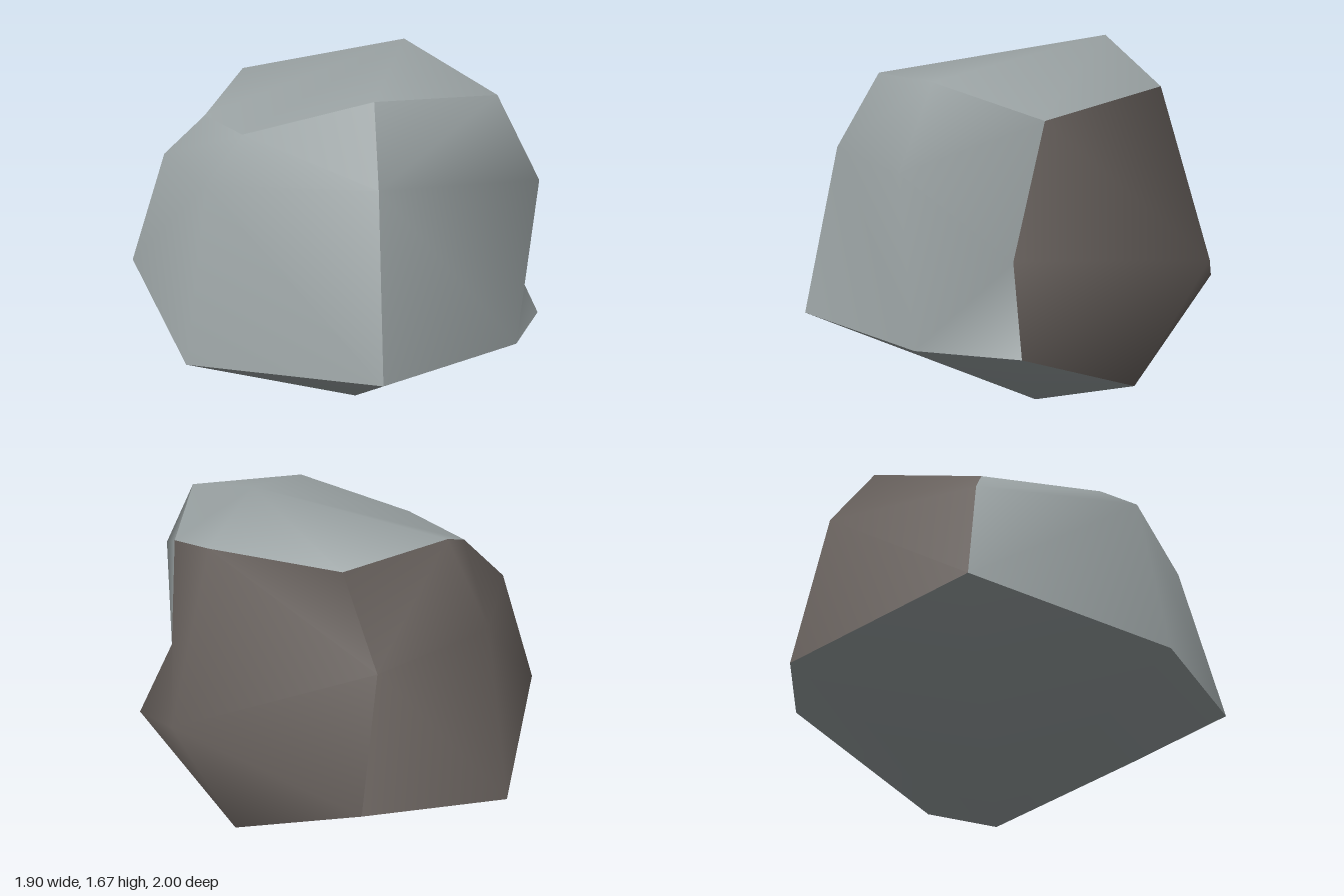
import * as THREE from 'three';

// Each ring runs front, front-left, left, back-left, back, back-right, right, front-right
const topRing = [
  [0.11, 1.51, 0.79], [0.46, 1.36, 0.54], [0.71, 1.47, 0.06], [0.46, 1.41, -0.42],
  [0.11, 1.51, -0.66], [-0.37, 1.36, -0.42], [-0.61, 1.36, 0.06], [-0.37, 1.51, 0.54],
];
const middleRing = [
  [0.11, 1.19, 1.0], [0.4, 0.82, 0.67], [0.95, 0.78, 0.06], [0.4, 1.0, -0.55],
  [0.11, 1.19, -0.87], [-0.5, 1.19, -0.55], [-0.82, 1.19, 0.06], [-0.5, 1.2, 0.67],
];
const bottomRing = [
  [0.11, 0.48, 0.93], [0.52, 0.48, 0.79], [0.62, 0.17, 0.06], [0.64, 0.51, -0.67],
  [0.11, 0.48, -1.0], [-0.61, 0.7, -0.67], [-0.95, 0.48, 0.06], [-0.61, 0.48, 0.79],
];
const peak = [0.45, 1.67, 0.06];
const base = [0.11, 0, 0.06];

// Maps a point of the subdivided cube to its place on the boulder
function rockPoint(x, y, z) {
  if (Math.hypot(x, z) < 0.1) return y > 0 ? peak : base;
  const step = (Math.round(Math.atan2(x, z) / (Math.PI / 4)) + 8) % 8;
  return [bottomRing, middleRing, topRing][Math.round(y) + 1][step];
}

// Splits every four-sided cell along its shorter diagonal
function splitShorter(geometry) {
  const { index, attributes: { position } } = geometry;
  const point = (i) => new THREE.Vector3().fromBufferAttribute(position, i);
  for (let i = 0; i < index.count; i += 6) {
    const [a, b, d, , c] = index.array.slice(i, i + 6);
    if (point(a).distanceTo(point(c)) < point(b).distanceTo(point(d))) {
      index.array.set([a, b, c, a, c, d], i);
    }
  }
}

export function createModel() {
  const stone = new THREE.MeshStandardMaterial({ color: 0x9aa2a3 });
  stone.name = 'grey stone';
  const earth = new THREE.MeshStandardMaterial({ color: 0x69625e });
  earth.name = 'brown stone';

  // A cube of 2 x 2 cells a side, so each side is smooth and the borders stay sharp
  const geometry = new THREE.BoxGeometry(2, 2, 2, 2, 2, 2);
  const p = geometry.attributes.position;
  for (let i = 0; i < p.count; i++) {
    p.setXYZ(i, ...rockPoint(p.getX(i), p.getY(i), p.getZ(i)));
  }
  splitShorter(geometry);
  geometry.computeVertexNormals();

  // Side order: left, right, top, bottom, front, back
  const boulder = new THREE.Mesh(geometry, [earth, stone, stone, stone, stone, earth]);
  boulder.name = 'boulder';

  const group = new THREE.Group();
  group.name = 'rock';
  group.add(boulder);
  return group;
}
